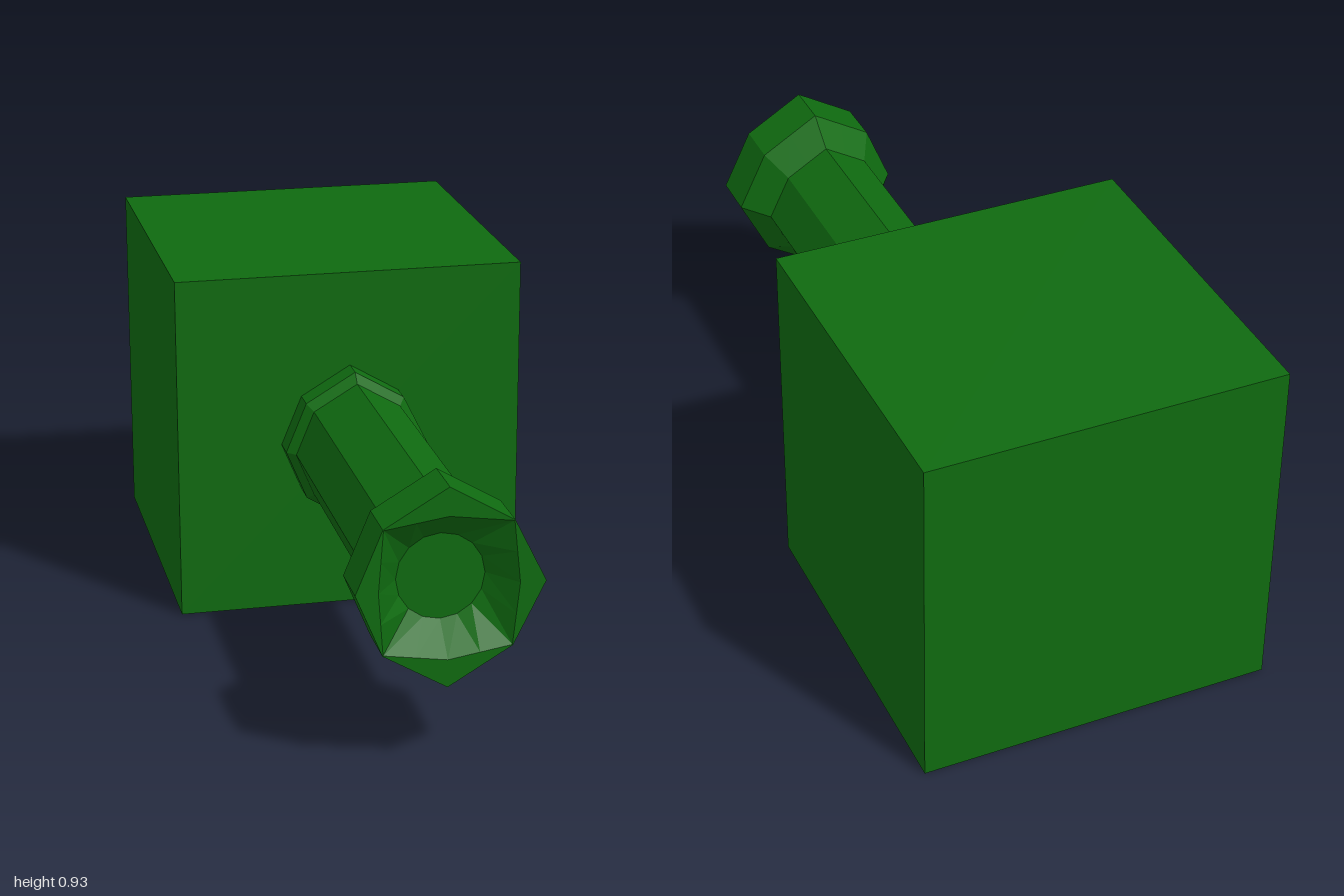
import * as THREE from 'three';

const CY = 0.465; // height of the barrel axis

// Eight corners (counter-clockwise from +x) widened to 16 points with edge midpoints
function octagon(right, top, left, bottom, d) {
  const c = [[right, 0], [d, d], [0, top], [-d, d], [-left, 0], [-d, -d], [0, -bottom], [d, -d]];
  return c.flatMap(([x, y], i) => {
    const [nx, ny] = c[(i + 1) % 8];
    return [[x, y], [(x + nx) / 2, (y + ny) / 2]];
  });
}

function circle(r) {
  return Array.from({ length: 16 }, (_, i) => {
    const a = (i * Math.PI) / 8;
    return [r * Math.cos(a), r * Math.sin(a)];
  });
}

// Joins successive rings { pts, z } with quads
function loft(rings) {
  const pos = [];
  const put = (ring, i) => pos.push(ring.pts[i % 16][0], ring.pts[i % 16][1], ring.z);
  for (let k = 0; k < rings.length - 1; k++) {
    const a = rings[k], b = rings[k + 1];
    for (let i = 0; i < 16; i++) {
      put(a, i); put(a, i + 1); put(b, i + 1);
      put(a, i); put(b, i + 1); put(b, i);
    }
  }
  const g = new THREE.BufferGeometry();
  g.setAttribute('position', new THREE.Float32BufferAttribute(pos, 3));
  g.computeVertexNormals();
  return g;
}

export function createModel() {
  const green = new THREE.MeshStandardMaterial({ color: 0x0f6a10, flatShading: true });
  green.name = 'dark green';
  const model = new THREE.Group();
  model.name = 'blockWithBarrel';
  const add = (name, geometry, y, z) => {
    const mesh = new THREE.Mesh(geometry, green);
    mesh.name = name;
    mesh.position.set(0, y, z);
    model.add(mesh);
  };

  // Cube body
  add('body', new THREE.BoxGeometry(0.93, 0.93, 0.93), CY, -0.535);

  const outer = octagon(0.235, 0.25, 0.222, 0.25, 0.157);
  const ring = (s, z) => ({ pts: outer.map(([x, y]) => [x * s, y * s]), z });

  // Collar against the body, tapering to the tube
  add('collar', loft([ring(0.84, -0.07), ring(0.84, -0.005), ring(0.74, 0.02)]), CY, 0);

  // Straight tube
  add('barrel', loft([ring(0.74, 0.02), ring(0.74, 0.79)]), CY, 0);

  // Flared muzzle with its flat lip and shallow recess
  const rim = { pts: octagon(0.172, 0.178, 0.167, 0.18, 0.1555), z: 1 };
  const floor = { pts: circle(0.108), z: 0.92 };
  const centre = { pts: circle(0), z: 0.92 };
  add('muzzle', loft([ring(0.74, 0.79), ring(1, 0.87), ring(1, 1), rim, floor]), CY, 0);
  add('muzzleFloor', loft([floor, centre]), CY, 0);

  return model;
}
